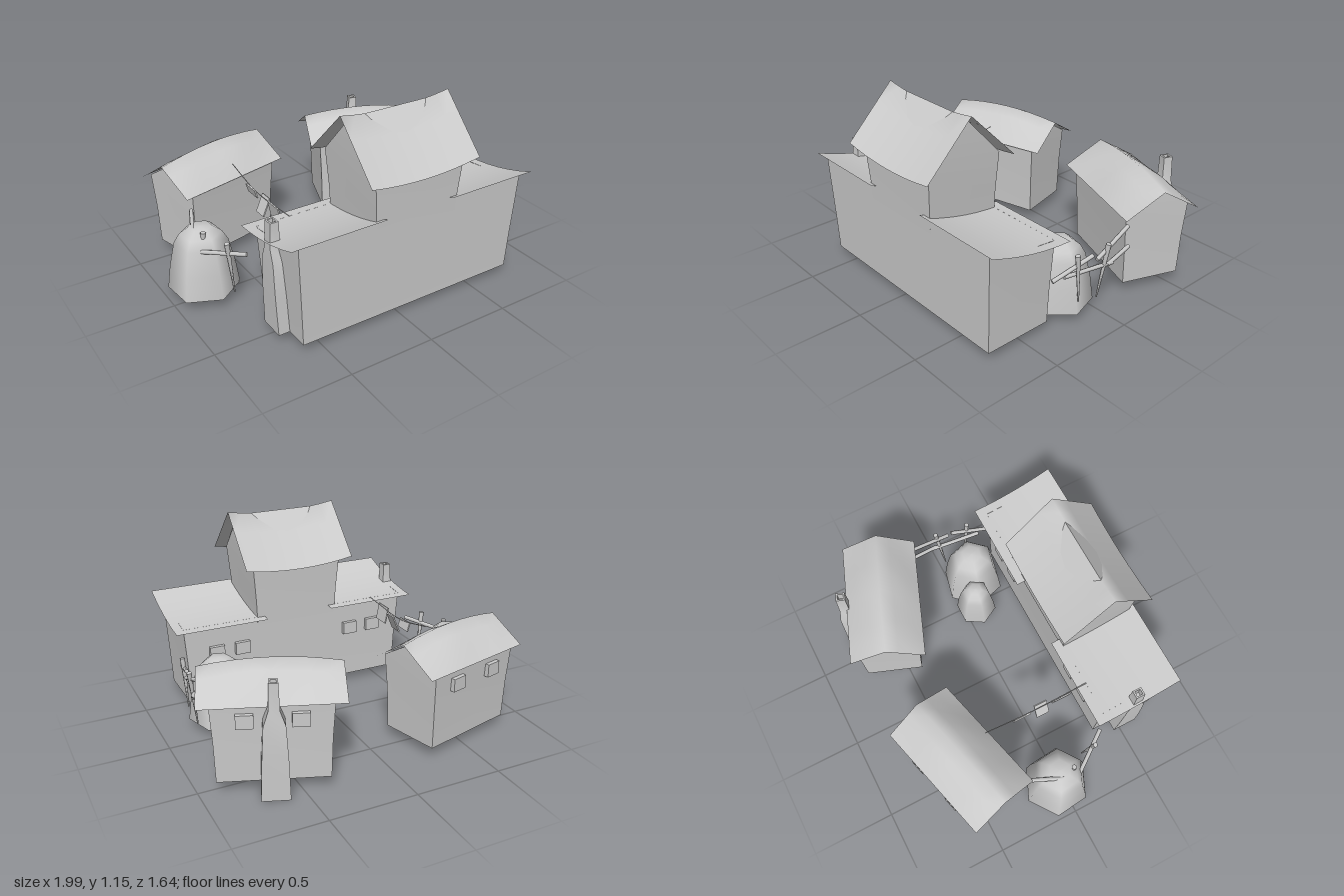
import * as THREE from 'three';
import { toCreasedNormals } from 'three/addons/utils/BufferGeometryUtils.js';

const grey = new THREE.MeshStandardMaterial({ color: 0xcccccc, side: THREE.DoubleSide });

function add(parent, name, geometry) {
  const mesh = new THREE.Mesh(geometry, grey);
  mesh.name = name;
  parent.add(mesh);
  return mesh;
}

// Skin between closed rings of points, open at both ends
function loft(rings) {
  const n = rings[0].length, index = [];
  for (let i = 0; i < rings.length - 1; i++) {
    for (let j = 0; j < n; j++) {
      const a = i * n + j, b = i * n + (j + 1) % n;
      index.push(a, b, a + n, b, b + n, a + n);
    }
  }
  const geometry = new THREE.BufferGeometry();
  geometry.setAttribute('position', new THREE.Float32BufferAttribute(rings.flat(2), 3));
  geometry.setIndex(index);
  return toCreasedNormals(geometry, 0.7);
}

// Rectangle ring: height, half width, half depth, optional centre
const rect = (y, a, b, x = 0, z = 0) =>
  [[x - a, y, z + b], [x + a, y, z + b], [x + a, y, z - b], [x - a, y, z - b]];

// Thin gable roof with its ridge along x; bend lifts or drops the middle
function gableRoof(width, depth, ridge, eave, bend) {
  const geometry = new THREE.PlaneGeometry(width, depth, 8, 6).rotateX(-Math.PI / 2);
  const p = geometry.attributes.position;
  for (let i = 0; i < p.count; i++) {
    const u = p.getX(i) / width * 2, v = Math.abs(p.getZ(i) / depth * 2);
    p.setY(i, ridge - (ridge - eave) * v + bend(u, v));
  }
  geometry.computeVertexNormals();
  return geometry;
}

// Straight pole between two points
function pole(parent, name, from, to, r0, r1 = r0) {
  const a = new THREE.Vector3(...from), b = new THREE.Vector3(...to);
  const dir = b.clone().sub(a);
  const mesh = add(parent, name, new THREE.CylinderGeometry(r1, r0, dir.length(), 6));
  mesh.position.copy(a).add(b).multiplyScalar(0.5);
  mesh.quaternion.setFromUnitVectors(new THREE.Vector3(0, 1, 0), dir.normalize());
}

// Square bottle-shaped chimney with a hollow flue; lean shifts the foot
function chimney(parent, name, height, w, d, leanX, leanZ) {
  const g = add(parent, name, loft([
    rect(0, w, d, leanX, leanZ),
    rect(height * 0.35, w * 0.9, d * 0.88, leanX * 0.6, leanZ * 0.6),
    rect(height * 0.65, w * 0.75, d * 0.75, leanX * 0.3, leanZ * 0.3),
    rect(height * 0.77, 0.029, 0.029),
    rect(height, 0.024, 0.027),
    rect(height, 0.015, 0.017),
    rect(height - 0.06, 0.015, 0.017),
    rect(height - 0.06, 0, 0),
  ]));
  return g;
}

// Small projecting window box on a back wall
function windowBox(parent, x, y, z) {
  add(parent, 'window', new THREE.BoxGeometry(0.09, 0.075, 0.05)).position.set(x, y, z);
}

function createHouse() {
  const house = new THREE.Group();
  house.name = 'mainHouse';
  // Wide lower storey, its top following the sloping shed roof
  const floor = [[-0.685, 0.05, 0.2], [0.685, 0.05, 0.2], [0.685, 0.05, 0],
    [0.685, 0.05, -0.2], [-0.685, 0.05, -0.2], [-0.685, 0.05, 0]];
  const top = [[-0.715, 0.64, 0.215], [0.715, 0.64, 0.215], [0.715, 0.574, 0],
    [0.715, 0.552, -0.21], [-0.715, 0.552, -0.21], [-0.715, 0.574, 0]];
  const middle = floor.map((p, i) => [
    (p[0] * 2 + top[i][0]) / 3, 0.27, (p[2] * 2 + top[i][2]) / 3]);
  add(house, 'lowerWalls', loft([floor, middle, top]));
  add(house, 'towerWalls', loft([
    rect(0.5, 0.255, 0.211), rect(0.66, 0.262, 0.216), rect(0.88, 0.28, 0.228), rect(1.135, 0.28, 0),
  ]));
  // Shed roofs either side of the tower
  for (const s of [-1, 1]) {
    const g = new THREE.PlaneGeometry(0.56, 0.512, 1, 6).rotateX(-Math.PI / 2);
    const p = g.attributes.position;
    for (let i = 0; i < p.count; i++) {
      const z = p.getZ(i);
      p.setY(i, 0.578 + 0.205 * z + 0.35 * z * z);
    }
    g.computeVertexNormals();
    add(house, 'shedRoof', g).position.set(s * 0.49, 0, -0.01);
  }
  add(house, 'towerRoof', gableRoof(0.68, 0.56, 1.155, 0.87, (u) => -0.03 * (1 - u * u)));
  for (const x of [-0.52, -0.36, 0.36, 0.52]) windowBox(house, x, 0.38, -0.205);
  chimney(house, 'chimney', 0.64, 0.055, 0.075, 0.035, 0).position.set(-0.73, 0.05, -0.01);
  house.position.set(0.07, 0, 0.535);
  return house;
}

function createHut(name, x, z, turn, width, depth) {
  const hut = new THREE.Group();
  hut.name = name;
  add(hut, 'hutWalls', loft([
    rect(0.065, 0.294, 0.171), rect(0.3, 0.3, 0.178), rect(0.51, 0.312, 0.19), rect(0.628, 0.312, 0),
  ]));
  // Roof swells in the middle like worn thatch
  add(hut, 'hutRoof', gableRoof(width, depth, 0.637, 0.505, (u, v) =>
    (1 - u * u) * (0.035 * (1 - v * v) + 0.03 * v * (1 - v) * (1 + Math.sin(5 * u)))));
  for (const s of [-1, 1]) windowBox(hut, s * 0.14, 0.42, -0.185);
  hut.position.set(x, 0, z);
  hut.rotation.y = turn;
  return hut;
}

// Six-sided tapering store with a rounded shoulder
function createStore(parent, name, x, z, radius, height, turn) {
  const profile = [[1, 0], [0.9, 0.38], [0.74, 0.76], [0.58, 0.9], [0.32, 1], [0, 1.01]]
    .map(([r, y]) => new THREE.Vector2(r * radius, y * height));
  const mesh = add(parent, name, new THREE.LatheGeometry(profile, 6));
  mesh.position.set(x, 0.055, z);
  mesh.rotation.y = turn;
}

export function createModel() {
  const model = new THREE.Group();
  model.name = 'farmstead';
  model.add(createHouse());

  const rightHut = createHut('rightHut', -0.49, -0.5, 0.255, 0.734, 0.424);
  const leftHut = createHut('leftHut', 0.576, -0.484, -0.358, 0.747, 0.44);
  chimney(leftHut, 'hutChimney', 0.65, 0.075, 0.065, 0, 0.03).position.set(-0.005, 0, -0.232);
  model.add(rightHut, leftHut);

  createStore(model, 'rightStore', -0.8, -0.03, 0.2, 0.375, 0.1);
  createStore(model, 'largeStore', 0.64, 0.14, 0.19, 0.375, 0.3);
  createStore(model, 'smallStore', 0.455, 0.07, 0.125, 0.28, 0.5);

  // Rough fences: rails and pointed stakes
  const rails = [
    [[0.8, 0.325, 0.35], [0.845, 0.4, 0.1]],
    [[0.805, 0.32, 0.27], [0.85, 0.3, -0.05]],
    [[0.855, 0.37, 0.08], [0.825, 0.455, -0.19]],
    [[0.85, 0.3, -0.01], [0.83, 0.33, -0.2]],
    [[-0.85, 0.34, 0.08], [-0.69, 0.385, 0.3]],
    [[-0.845, 0.42, -0.03], [-0.775, 0.44, -0.2]],
  ];
  for (const [a, b] of rails) pole(model, 'fenceRail', a, b, 0.012);
  const stakes = [
    [[0.825, 0.14, 0.175], [0.835, 0.435, 0.205]],
    [[0.82, 0.1, 0.03], [0.86, 0.435, 0.0]],
    [[-0.72, 0.1, 0.19], [-0.765, 0.435, 0.22]],
    [[-0.83, 0.2, 0.04], [-0.82, 0.435, 0.05]],
  ];
  for (const [a, b] of stakes) pole(model, 'fenceStake', a, b, 0.004, 0.015);

  // Washing line with three cloths
  const line = new THREE.CatmullRomCurve3([
    [-0.445, 0.553, 0.33], [-0.445, 0.54, 0.17], [-0.445, 0.532, 0.04], [-0.445, 0.542, -0.1],
    [-0.445, 0.59, -0.32]].map((p) => new THREE.Vector3(...p)));
  add(model, 'washingLine', new THREE.TubeGeometry(line, 16, 0.003, 4));
  const cloths = [[0.17, 0.5, 0.11, 0.1, 0.2], [0.04, 0.486, 0.08, 0.11, -0.4], [-0.09, 0.518, 0.105, 0.055, 0.3]];
  for (const [z, y, w, h, tilt] of cloths) {
    const cloth = add(model, 'cloth', new THREE.BoxGeometry(0.008, h, w));
    cloth.position.set(-0.445, y, z);
    cloth.rotation.z = tilt;
  }
  return model;
}
